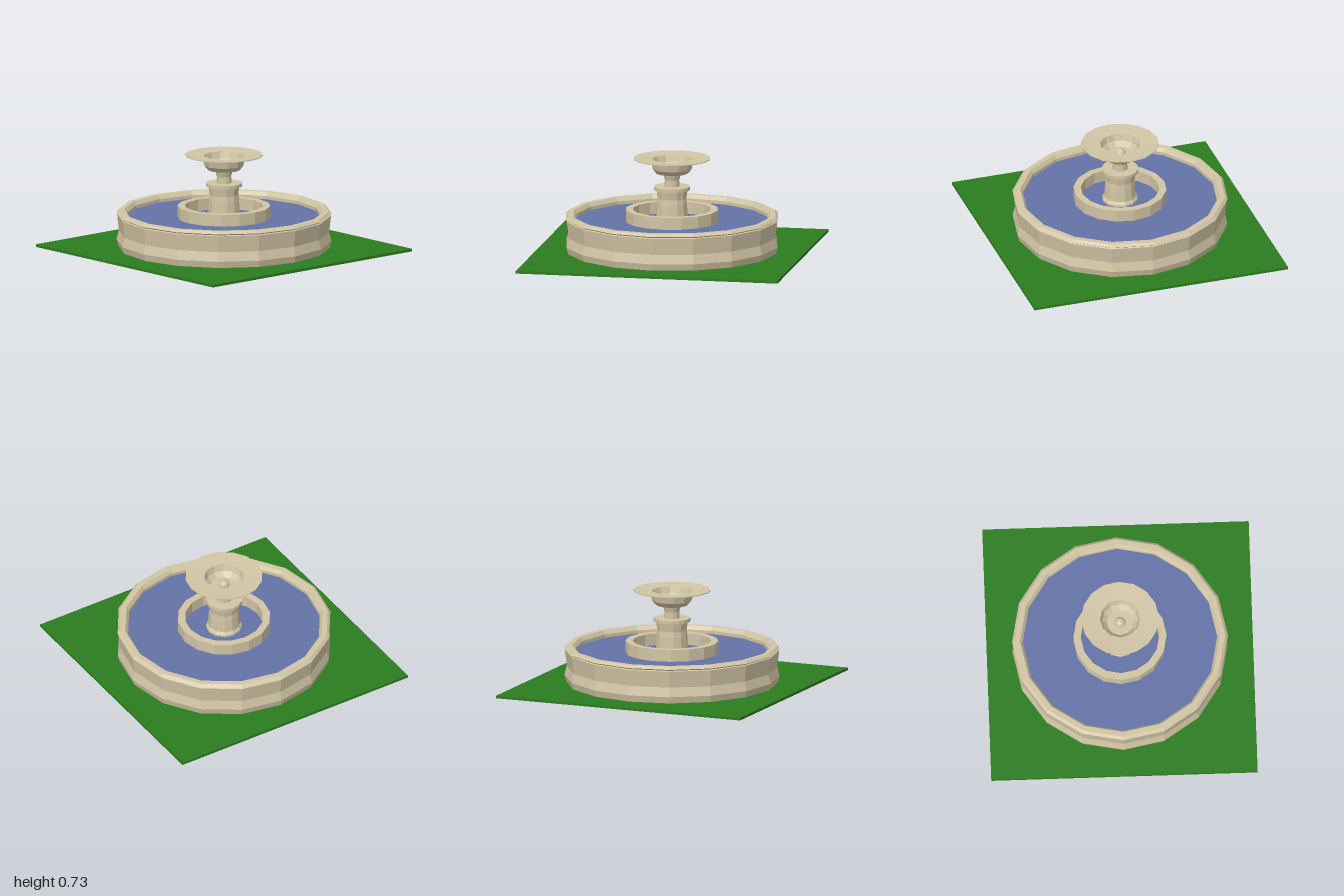
import * as THREE from 'three';

export function createModel() {
  const material = (name, color) => {
    const m = new THREE.MeshStandardMaterial({ color, flatShading: true });
    m.name = name;
    return m;
  };
  const stone = material('stone', 0xd2c5a5);
  const water = material('water', 0x6472a8);
  const grass = material('grass', 0x2b7d20);

  const fountain = new THREE.Group();
  fountain.name = 'fountain';
  const add = (name, geometry, mat, y = 0) => {
    const mesh = new THREE.Mesh(geometry, mat);
    mesh.name = name;
    mesh.position.y = y;
    fountain.add(mesh);
    return mesh;
  };
  // Turned stone part; the profile runs up the outside, then down the inside
  const turned = (name, profile, sides) => add(name,
    new THREE.LatheGeometry(profile.map(([r, y]) => new THREE.Vector2(r, y)), sides), stone);

  // Square lawn
  add('lawn', new THREE.BoxGeometry(2, 0.02, 2), grass, 0.01);

  // Outer basin wall with moulded foot and rim
  turned('basinWall', [
    [0.795, 0.02], [0.808, 0.07], [0.79, 0.14], [0.805, 0.265], [0.796, 0.27],
    [0.81, 0.28], [0.79, 0.298], [0.75, 0.298], [0.73, 0.27], [0.73, 0.02],
  ], 16);

  // Pool surface
  add('pool', new THREE.CylinderGeometry(0.735, 0.735, 0.2, 16), water, 0.145);

  // Inner ring standing in the pool
  turned('innerRing', [
    [0.35, 0.02], [0.35, 0.335], [0.295, 0.335], [0.295, 0.02],
  ], 16);

  // Pedestal: flared column, cap and neck
  turned('column', [
    [0.135, 0.2], [0.135, 0.26], [0.12, 0.28], [0.115, 0.38], [0.11, 0.42], [0.12, 0.487],
  ], 12);
  turned('columnCap', [
    [0, 0.485], [0.137, 0.485], [0.137, 0.51], [0, 0.51],
  ], 16);
  turned('neck', [[0.057, 0.51], [0.055, 0.56], [0.07, 0.612]], 12);

  // Upper bowl with a wide thin lip
  turned('bowl', [
    [0, 0.61], [0.12, 0.61], [0.15, 0.645], [0.165, 0.712], [0.15, 0.718],
    [0.135, 0.67], [0.1, 0.635], [0, 0.635],
  ], 12);
  turned('bowlLip', [
    [0.15, 0.71], [0.22, 0.714], [0.292, 0.72], [0.292, 0.726], [0.22, 0.721],
    [0.15, 0.717], [0.15, 0.71],
  ], 16);

  // Small spout in the middle of the bowl
  add('spout', new THREE.SphereGeometry(0.042, 12, 8), stone, 0.64);

  return fountain;
}
